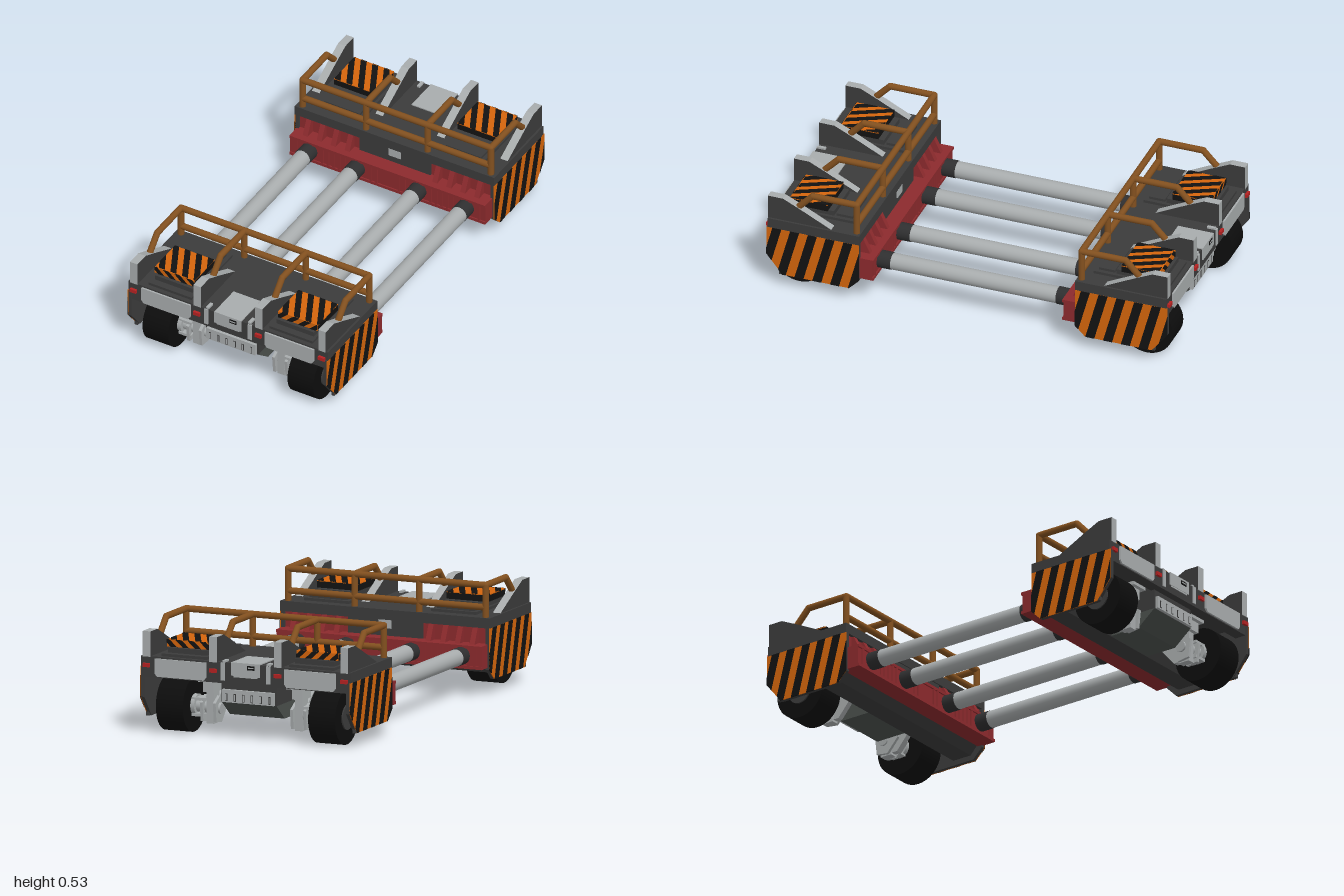
import * as THREE from 'three';

const mat = (name, color) => new THREE.MeshStandardMaterial({ name, color });
const M = {
  dark: mat('dark body', 0x3b3b3b), light: mat('light metal', 0xa8acad),
  red: mat('red beam', 0x8c2a2d), orange: mat('hazard orange', 0xd4650c),
  black: mat('hazard black', 0x121212), tyre: mat('tyre rubber', 0x0d0d0d),
  pipe: mat('rail brown', 0x82501f), hull: mat('hull grey', 0x4b504d),
  lamp: mat('lamp red', 0xb52222), sleeve: mat('sleeve grey', 0x2f2f30),
};

function add(parent, name, geo, m) {
  const mesh = new THREE.Mesh(geo, m);
  mesh.name = name;
  parent.add(mesh);
  return mesh;
}

// box given by its limits on each axis
function box(parent, name, m, [x0, x1], [y0, y1], [z0, z1]) {
  const b = add(parent, name, new THREE.BoxGeometry(Math.abs(x1 - x0), y1 - y0, z1 - z0), m);
  b.position.set((x0 + x1) / 2, (y0 + y1) / 2, (z0 + z1) / 2);
  return b;
}

const shapeOf = (pts) => new THREE.Shape(pts.map(([a, b]) => new THREE.Vector2(a, b)));
const flatPlate = (pts, depth) =>
  new THREE.ExtrudeGeometry(shapeOf(pts), { depth, bevelEnabled: false });

// side profile of [z, y] points, swept along x
function sweep(parent, name, m, profile, x0, x1) {
  const lo = Math.min(x0, x1), geo = flatPlate(profile.map(([z, y]) => [-z, y]), Math.abs(x1 - x0));
  geo.rotateY(Math.PI / 2).translate(lo, 0, 0);
  return add(parent, name, geo, m);
}

function rod(parent, name, m, a, b, r, sides = 20, r2 = r) {
  const A = new THREE.Vector3(...a), B = new THREE.Vector3(...b), d = B.clone().sub(A);
  const c = add(parent, name, new THREE.CylinderGeometry(r2, r, d.length(), sides), m);
  c.position.copy(A).add(B).multiplyScalar(0.5);
  c.quaternion.setFromUnitVectors(new THREE.Vector3(0, 1, 0), d.normalize());
  return c;
}

// bent pipe with round joints
function pipe(parent, name, pts, r = 0.0155) {
  pts.forEach((p, i) => {
    add(parent, name, new THREE.SphereGeometry(r, 14, 10), M.pipe).position.set(...p);
    if (i) rod(parent, name, M.pipe, pts[i - 1], p, r, 14);
  });
}

// keep the part of a convex polygon where f >= 0
function clip(poly, f) {
  const out = [];
  poly.forEach((p, i) => {
    const q = poly[(i + 1) % poly.length], fp = f(p), fq = f(q);
    if (fp >= 0) out.push(p);
    if (fp * fq < 0) {
      const t = fp / (fp - fq);
      out.push([p[0] + (q[0] - p[0]) * t, p[1] + (q[1] - p[1]) * t]);
    }
  });
  return out;
}

// orange plate with slanted black stripes, facing local +z
function hazardPlate(parent, name, poly, slant, period, phase = 0) {
  const g = new THREE.Group();
  g.name = name;
  add(g, name + ' base', flatPlate(poly, 0.004), M.orange);
  const us = poly.map(([a, b]) => a - b * slant);
  for (let u = Math.min(...us) - period + phase; u < Math.max(...us); u += period) {
    const band = clip(clip(poly, ([a, b]) => a - b * slant - u),
      ([a, b]) => u + period * 0.5 - a + b * slant);
    if (band.length > 2) add(g, name + ' stripe', flatPlate(band, 0.006), M.black);
  }
  parent.add(g);
  return g;
}
const rect = (w, h) => [[-w / 2, -h / 2], [w / 2, -h / 2], [w / 2, h / 2], [-w / 2, h / 2]];

function createCarriage() {
  const g = new THREE.Group();

  // body: rear bulk, top deck, front face and central hull
  sweep(g, 'rear body', M.dark,
    [[0.56, 0.14], [0.6, 0.095], [0.7, 0.095], [0.75, 0.2], [0.75, 0.34], [0.56, 0.34]], -0.525, 0.525);
  box(g, 'deck', M.dark, [-0.535, 0.535], [0.315, 0.363], [0.535, 0.985]);
  box(g, 'front beam', M.dark, [-0.535, 0.535], [0.265, 0.363], [0.93, 0.987]);
  box(g, 'center hull', M.dark, [-0.14, 0.14], [0.17, 0.32], [0.7, 0.95]);
  sweep(g, 'hull underside', M.hull,
    [[0.68, 0.097], [0.86, 0.097], [0.95, 0.17], [0.68, 0.17]], -0.14, 0.14);

  // slotted front plate
  box(g, 'slotted plate', M.light, [-0.132, 0.132], [0.172, 0.232], [0.94, 0.965]);
  for (let i = 0; i < 6; i++) {
    const x = -0.11 + i * 0.044;
    box(g, 'slot', M.dark, [x - 0.006, x + 0.006], [0.178, 0.214], [0.964, 0.967]);
    box(g, 'slot infill', M.light, [x - 0.003, x + 0.003], [0.181, 0.211], [0.965, 0.969]);
  }

  // equipment box on the deck
  box(g, 'equipment box', M.light, [-0.072, 0.072], [0.305, 0.368], [0.815, 0.992]);
  box(g, 'equipment box foot', M.light, [-0.06, 0.06], [0.298, 0.31], [0.95, 0.99]);
  box(g, 'equipment label', M.black, [0.01, 0.048], [0.337, 0.357], [0.99, 0.994]);
  box(g, 'equipment label mark', M.light, [0.015, 0.043], [0.345, 0.35], [0.992, 0.996]);

  // inner face: service box
  box(g, 'inner center box', M.dark, [-0.19, 0.19], [0.24, 0.345], [0.54, 0.565]);
  box(g, 'service cover', M.light, [-0.032, 0.032], [0.275, 0.315], [0.534, 0.545]);

  // red cross beam
  box(g, 'red beam', M.red, [-0.525, 0.525], [0.13, 0.24], [0.475, 0.56]);
  box(g, 'red beam lip', M.red, [-0.525, 0.525], [0.226, 0.24], [0.468, 0.48]);
  box(g, 'red beam foot', M.red, [-0.525, 0.525], [0.13, 0.144], [0.468, 0.48]);

  for (const s of [-1, 1]) {
    // side wall with hazard panel
    const wall = [[0.535, 0.315], [0.535, 0.12], [0.585, 0.07], [0.915, 0.07], [0.993, 0.17], [0.993, 0.315]];
    sweep(g, 'side wall', M.dark, wall, s * 0.515, s * 0.532);
    box(g, 'front corner', M.dark, [s * 0.52, s * 0.535], [0.07, 0.32], [0.9, 0.93]);
    const pts = wall.map(([z, y]) => [-s * z, y]);
    const panel = hazardPlate(g, 'side hazard panel', s > 0 ? pts : pts.reverse(), 0.27, 0.088, 0.03);
    panel.rotation.y = s * Math.PI / 2;
    panel.position.x = s * 0.532;

    // wheel with hub
    rod(g, 'wheel', M.tyre, [s * 0.32, 0.13, 0.86], [s * 0.458, 0.13, 0.86], 0.13, 40);
    rod(g, 'hub', M.light, [s * 0.3, 0.13, 0.86], [s * 0.322, 0.13, 0.86], 0.05, 20);
    rod(g, 'outer hub', M.dark, [s * 0.456, 0.13, 0.86], [s * 0.465, 0.13, 0.86], 0.06, 20);

    // wheel strut, fork and trailing arm
    box(g, 'strut', M.light, [s * 0.207, s * 0.245], [0.05, 0.26], [0.83, 0.89]);
    box(g, 'strut cap', M.light, [s * 0.18, s * 0.27], [0.25, 0.268], [0.8, 0.93]);
    box(g, 'strut neck', M.light, [s * 0.2, s * 0.255], [0.2, 0.25], [0.82, 0.91]);
    for (const x of [0.19, 0.257])
      sweep(g, 'fork plate', M.light, [[0.78, 0.12], [0.84, 0.052], [0.9, 0.06], [0.91, 0.15], [0.86, 0.18]],
        s * x, s * (x + 0.014));
    sweep(g, 'trailing arm', M.light,
      [[0.88, 0.06], [0.88, 0.13], [0.7, 0.25], [0.68, 0.2], [0.8, 0.06]], s * 0.212, s * 0.24);
    rod(g, 'axle', M.light, [s * 0.18, 0.12, 0.86], [s * 0.33, 0.13, 0.86], 0.026, 16, 0.034);
    for (const y of [0.08, 0.155])
      box(g, 'hub bracket', M.light, [s * 0.25, s * 0.318], [y, y + 0.014], [0.83, 0.9]);

    // light fender plate on the front
    const fender = [[0.2, 0.285], [0.212, 0.27], [0.45, 0.27], [0.462, 0.285], [0.462, 0.355], [0.2, 0.355]];
    const fg = flatPlate(fender.map(([x, y]) => [s * x, y]), 0.009);
    add(g, 'fender plate', fg, M.light).position.z = 0.987;
    box(g, 'deck bracket', M.light, [s * 0.107, s * 0.127], [0.278, 0.363], [0.98, 0.992]);
    box(g, 'deck latch', M.light, [s * 0.105, s * 0.12], [0.36, 0.372], [0.945, 0.985]);

    // deck hatch with hazard cover
    box(g, 'hatch base', M.dark, [s * 0.21, s * 0.44], [0.363, 0.376], [0.59, 0.965]);
    box(g, 'hatch box', M.dark, [s * 0.225, s * 0.425], [0.37, 0.4], [0.7, 0.93]);
    box(g, 'rear hatch', M.dark, [s * 0.23, s * 0.42], [0.37, 0.388], [0.61, 0.69]);
    box(g, 'hazard cover', M.black, [s * 0.225, s * 0.437], [0.4, 0.43], [0.728, 0.91]);
    const top = hazardPlate(g, 'hazard cover top', rect(0.212, 0.182), -0.5, 0.062, 0.02);
    top.rotation.x = -Math.PI / 2;
    top.position.set(s * 0.331, 0.43, 0.819);
    const lip = hazardPlate(g, 'hazard cover front', rect(0.212, 0.034), s * 1.1, 0.062, 0.02);
    lip.position.set(s * 0.331, 0.418, 0.91);

    for (const x of [0.165, 0.505]) {
      // upright fin: dark faces, light edge
      sweep(g, 'deck fin', [M.dark, M.light],
        [[0.67, 0.36], [0.99, 0.36], [0.99, 0.48], [0.915, 0.48], [0.83, 0.44]], s * (x - 0.02), s * (x + 0.02));
      // guard rail hoop
      pipe(g, 'guard rail hoop', [[s * x, 0.36, 0.557], [s * x, 0.514, 0.557],
        [s * x, 0.514, 0.775], [s * x, 0.44, 0.845]]);
      box(g, 'tail lamp', M.lamp, [s * (x - 0.017), s * (x + 0.017)], [0.312, 0.33], [0.985, 1]);
    }

    // red inner wall with gussets and beam ribs
    box(g, 'red inner wall', M.red, [s * 0.19, s * 0.515], [0.2, 0.335], [0.55, 0.565]);
    for (let i = 0; i < 4; i++) {
      const x = 0.235 + i * 0.075;
      sweep(g, 'red gusset', M.red, [[0.5, 0.235], [0.555, 0.235], [0.555, 0.315], [0.538, 0.315]],
        s * (x - 0.013), s * (x + 0.013));
    }
    for (const x of [0.06, 0.09, 0.23, 0.26, 0.29, 0.32, 0.35, 0.49])
      box(g, 'red rib', M.red, [s * (x - 0.006), s * (x + 0.006)], [0.14, 0.23], [0.469, 0.48]);
  }

  // long guard rails
  for (const y of [0.41, 0.514]) pipe(g, 'guard rail', [[-0.505, y, 0.557], [0.505, y, 0.557]]);

  // rod sleeves
  for (const x of [-0.42, -0.165, 0.165, 0.42])
    rod(g, 'rod sleeve', M.sleeve, [x, 0.19, 0.41], [x, 0.19, 0.48], 0.042, 24);
  return g;
}

export function createModel() {
  const model = new THREE.Group();
  model.name = 'transport carrier';
  const front = createCarriage();
  front.name = 'front carriage';
  const back = createCarriage();
  back.name = 'back carriage';
  back.rotation.y = Math.PI;
  model.add(front, back);

  // connecting rods
  for (const x of [-0.42, -0.165, 0.165, 0.42])
    rod(model, 'connecting rod', M.light, [x, 0.19, -0.45], [x, 0.19, 0.45], 0.04, 24);
  return model;
}
